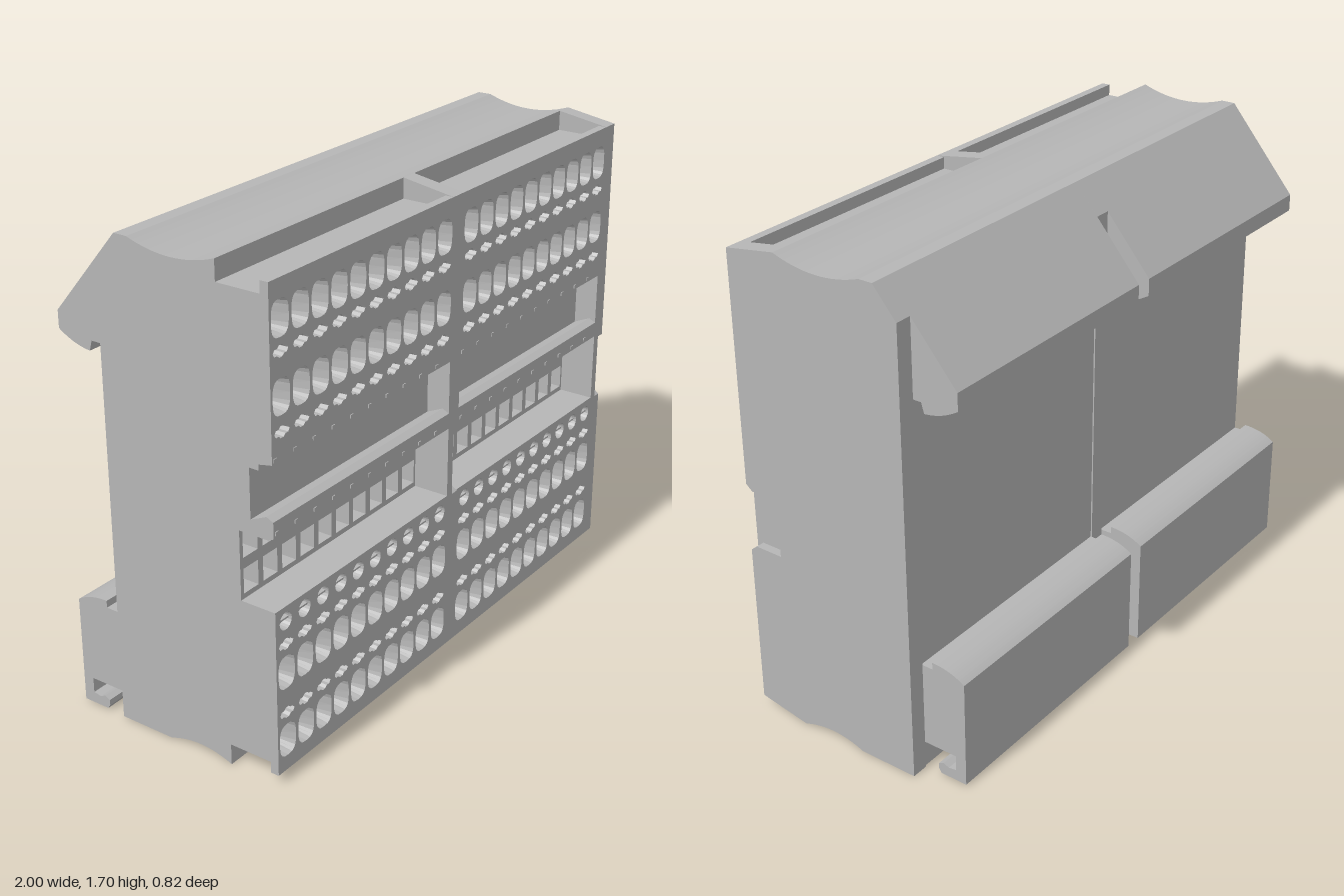
import * as THREE from 'three';

const W = 0.94, PITCH = 0.094, COUNT = 10;

// Closed outline with rounded-box character; higher power is squarer
function oval(rx, ry, power, dy = 0, n = 20) {
  const pts = [];
  for (let i = 0; i < n; i++) {
    const a = (i / n) * Math.PI * 2, c = Math.cos(a), s = Math.sin(a);
    pts.push(new THREE.Vector2(
      rx * Math.sign(c) * Math.abs(c) ** (2 / power),
      dy + ry * Math.sign(s) * Math.abs(s) ** (2 / power)));
  }
  return pts;
}

// Lozenge-with-lobe outline of the small test slots
function lozenge(k = 1) {
  return [[0.036, 0], [0.029, 0.011], [0.016, 0.011], [0.007, 0.019],
    [-0.007, 0.019], [-0.016, 0.011], [-0.029, 0.011], [-0.036, 0],
    [-0.029, -0.011], [-0.016, -0.011], [-0.007, -0.019],
    [0.007, -0.019], [0.016, -0.011], [0.029, -0.011]]
    .map(([x, y]) => new THREE.Vector2(x * k, y * k));
}

function rect(w, h) {
  return [[w, -h], [w, h], [-w, h], [-w, -h]].map(([x, y]) => new THREE.Vector2(x / 2, y / 2));
}

// Inward-facing pocket from an outer ring to a smaller inner ring, with a floor
function pocket(outer, inner, depth) {
  const p = [], n = outer.length;
  const cy = inner.reduce((s, v) => s + v.y, 0) / n;
  for (let i = 0; i < n; i++) {
    const j = (i + 1) % n, a = outer[i], b = outer[j], c = inner[i], d = inner[j];
    p.push(a.x, a.y, 0, b.x, b.y, 0, c.x, c.y, -depth);
    p.push(b.x, b.y, 0, d.x, d.y, -depth, c.x, c.y, -depth);
    p.push(0, cy, -depth, c.x, c.y, -depth, d.x, d.y, -depth);
  }
  const g = new THREE.BufferGeometry();
  g.setAttribute('position', new THREE.Float32BufferAttribute(p, 3));
  g.computeVertexNormals();
  return g;
}

// Extrude a (z, y) profile along x, from x0 to x0 + width
function alongX(shape, x0, width) {
  return new THREE.ExtrudeGeometry(shape, { depth: width, bevelEnabled: false, curveSegments: 16 })
    .rotateY(-Math.PI / 2).translate(x0 + width, 0, 0);
}

function lines(shape, pts) {
  pts.forEach(([z, y]) => shape.lineTo(z, y));
  return shape;
}

// Section core: scooped top, rail hook, rail foot, front ledge and label channel
function coreProfile() {
  const s = new THREE.Shape();
  s.moveTo(0.22, 1.7);
  s.quadraticCurveTo(0.055, 1.64, -0.11, 1.7);
  lines(s, [[-0.16, 1.7], [-0.41, 1.405], [-0.41, 1.345]]);
  s.quadraticCurveTo(-0.35, 1.305, -0.285, 1.3);
  lines(s, [[-0.275, 1.335], [-0.24, 1.335], [-0.24, 0.4], [-0.285, 0.4], [-0.285, 0.425]]);
  s.quadraticCurveTo(-0.36, 0.425, -0.41, 0.39);
  lines(s, [[-0.41, 0.005], [-0.31, 0.005], [-0.3, 0.02], [-0.3, 0.04], [-0.32, 0.05],
    [-0.34, 0.04], [-0.37, 0.045], [-0.37, 0.1], [-0.24, 0.1], [-0.24, 0], [-0.03, 0]]);
  s.quadraticCurveTo(0.095, 0.05, 0.22, 0);
  return lines(s, [[0.22, 0.075], [0.28, 0.075], [0.28, 0.62], [0.22, 0.62], [0.22, 0.86],
    [0.39, 0.86], [0.41, 0.87], [0.41, 0.925], [0.385, 0.937], [0.325, 0.91], [0.325, 1.08],
    [0.36, 1.08], [0.36, 1.1], [0.41, 1.11], [0.41, 1.13], [0.28, 1.13], [0.28, 1.63], [0.22, 1.63]]);
}

// End wall, optionally with the side latch notch
function wallProfile(notched) {
  const s = new THREE.Shape();
  s.moveTo(0.22, 1.7);
  s.quadraticCurveTo(0.055, 1.64, -0.11, 1.7);
  lines(s, [[-0.16, 1.7], [-0.245, 1.6], [-0.245, 0], [-0.03, 0]]);
  s.quadraticCurveTo(0.095, 0.05, 0.22, 0);
  s.lineTo(0.41, 0.035);
  if (notched) lines(s, [[0.41, 0.615], [0.385, 0.635], [0.28, 0.635], [0.28, 0.84], [0.385, 0.84], [0.41, 0.86]]);
  s.lineTo(0.41, 1.67);
  return s;
}

const columns = Array.from({ length: COUNT }, (_, i) => 0.05 + i * PITCH);

// Front plate pierced by rows of {y, ring}
function plate(y0, y1, zBack, depth, rows) {
  const s = new THREE.Shape();
  s.moveTo(0, y0);
  lines(s, [[W, y0], [W, y1], [0, y1]]);
  for (const { y, ring } of rows) for (const x of columns)
    s.holes.push(new THREE.Path(ring.map(v => new THREE.Vector2(v.x + x, v.y + y))));
  return new THREE.ExtrudeGeometry(s, { depth, bevelEnabled: false }).translate(0, 0, zBack);
}

export function createModel() {
  const grey = new THREE.MeshStandardMaterial({ color: 0xb6b6b6 });
  grey.name = 'housingGrey';
  const model = new THREE.Group();
  model.name = 'terminalBlock';

  // Opening outlines and their pockets
  const wireRing = oval(0.041, 0.058, 3), slotRing = lozenge(), screwRing = oval(0.03, 0.03, 2);
  const kinds = {
    wireEntry: { ring: wireRing, geo: pocket(wireRing, oval(0.031, 0.037, 8, -0.01), 0.125) },
    testSlot: { ring: slotRing, geo: pocket(slotRing, lozenge(0.9), 0.04) },
    indicator: { ring: screwRing, geo: pocket(screwRing, oval(0.028, 0.028, 2), 0.03) },
  };
  const upper = [['wireEntry', 1.55], ['testSlot', 1.45], ['wireEntry', 1.31], ['testSlot', 1.2]];
  const lower = [['indicator', 0.57], ['testSlot', 0.49], ['wireEntry', 0.39],
    ['testSlot', 0.245], ['wireEntry', 0.145]];
  const rows = list => list.map(([k, y]) => ({ y, ring: kinds[k].ring }));

  const parts = {
    core: alongX(coreProfile(), 0, W),
    upperFrontPlate: plate(1.13, 1.63, 0.28, 0.13, rows(upper)),
    lowerFrontPlate: plate(0.075, 0.62, 0.28, 0.13, rows(lower)),
    jumperWindows: plate(0.62, 0.86, 0.22, 0.06,
      [{ y: 0.805, ring: rect(0.07, 0.09) }, { y: 0.68, ring: rect(0.07, 0.085) }]),
    topLip: new THREE.BoxGeometry(W, 0.04, 0.03).translate(W / 2, 1.65, 0.395),
    bottomLip: new THREE.BoxGeometry(W, 0.04, 0.03).translate(W / 2, 0.055, 0.395),
    endWall: alongX(wallProfile(false), W, 0.03),
    endWallLatchSide: alongX(wallProfile(true), W + 0.03, 0.03),
  };
  const bar = new THREE.BoxGeometry(0.054, 0.006, 0.02);
  const nib = new THREE.BoxGeometry(0.014, 0.012, 0.008);

  // Two identical modules side by side
  for (const x0 of [-1, 0]) {
    const module = new THREE.Group();
    module.name = x0 < 0 ? 'rightModule' : 'leftModule';
    module.position.x = x0;
    const add = (name, geo, x = 0, y = 0, z = 0) => {
      const m = new THREE.Mesh(geo, grey);
      m.name = name;
      m.position.set(x, y, z);
      module.add(m);
    };
    for (const [name, geo] of Object.entries(parts)) add(name, geo);
    for (const x of columns) {
      for (const [k, y] of [...upper, ...lower]) add(k, kinds[k].geo, x, y, 0.41);
      add('indicatorBar', bar, x, 0.57, 0.39);
      // Marker nibs along both edges of the label channel
      add('upperNib', nib, x - 0.036, 1.122, 0.409);
      add('lowerNib', nib, x - 0.036, 0.885, 0.409);
    }
    model.add(module);
  }
  return model;
}
